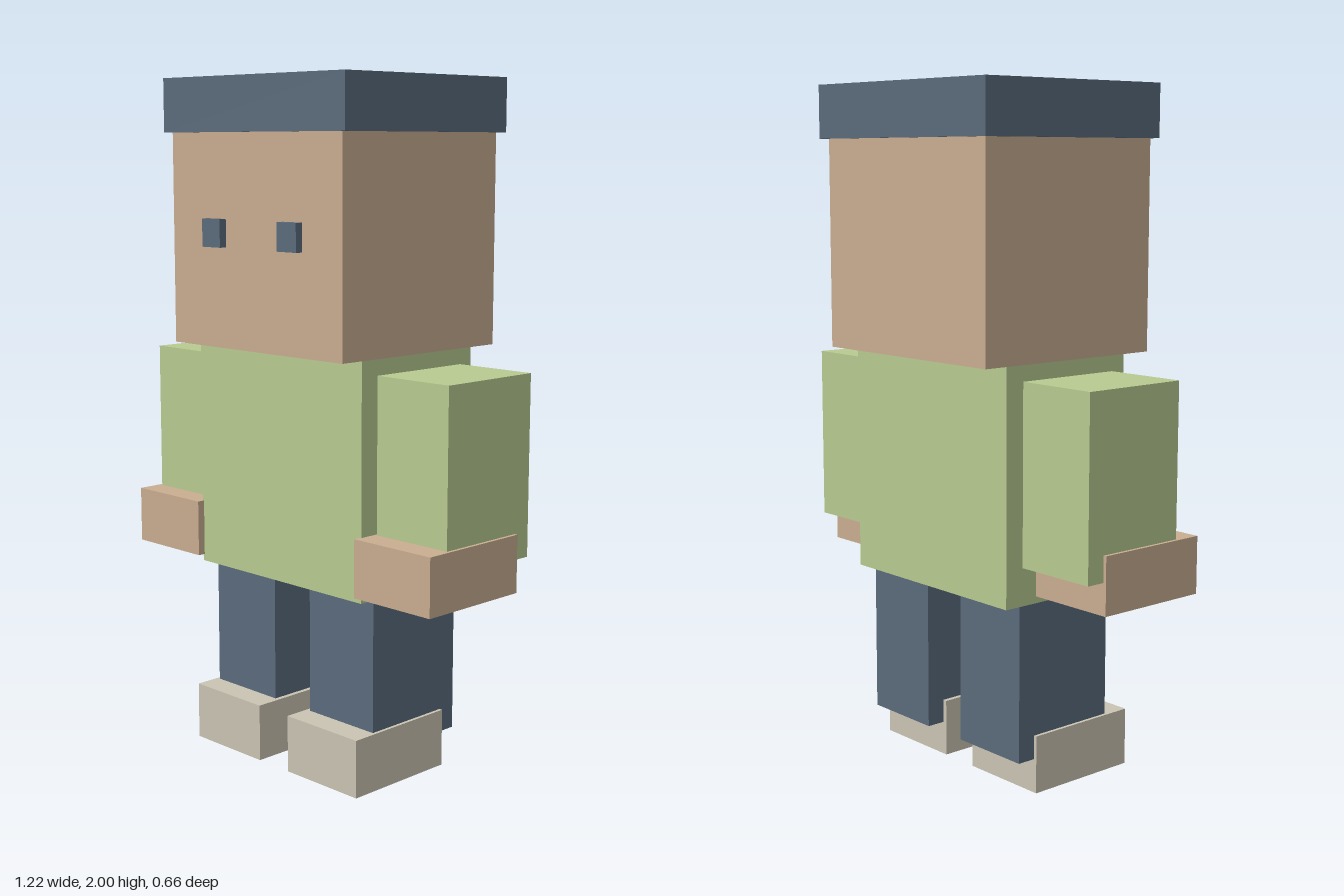
import * as THREE from 'three';

const material = (name, color) => {
  const m = new THREE.MeshStandardMaterial({ color });
  m.name = name;
  return m;
};

export function createModel() {
  const skin = material('skin', 0xc9ad90);
  const green = material('shirtGreen', 0xb8ca90);
  const navy = material('slateBlue', 0x5b6b7c);
  const cream = material('shoeCream', 0xcac4b3);

  const model = new THREE.Group();
  model.name = 'blockFigure';

  // Box given by its [min, max] extent along each axis
  const block = (name, mat, [x0, x1], [y0, y1], [z0, z1]) => {
    const mesh = new THREE.Mesh(new THREE.BoxGeometry(x1 - x0, y1 - y0, z1 - z0), mat);
    mesh.position.set((x0 + x1) / 2, (y0 + y1) / 2, (z0 + z1) / 2);
    mesh.name = name;
    model.add(mesh);
  };

  // Same block on the left (+x) and right (-x)
  const pair = (name, mat, [x0, x1], y, z) => {
    block('left' + name, mat, [x0, x1], y, z);
    block('right' + name, mat, [-x1, -x0], y, z);
  };

  // Head, cap of hair and torso
  block('hair', navy, [-0.37, 0.37], [1.846, 2], [-0.327, 0.323]);
  block('head', skin, [-0.348, 0.348], [1.238, 1.846], [-0.309, 0.309]);
  block('torso', green, [-0.337, 0.337], [0.56, 1.238], [-0.224, 0.224]);

  // Eyes standing slightly proud of the face
  pair('Eye', navy, [0.118, 0.194], [1.525, 1.605], [0.3, 0.332]);

  // Arms and forward-reaching hands
  pair('Sleeve', green, [0.344, 0.602], [0.672, 1.192], [-0.17, 0.17]);
  pair('Hand', skin, [0.332, 0.612], [0.58, 0.747], [-0.113, 0.247]);

  // Legs and shoes
  pair('Leg', navy, [0.075, 0.332], [0.1, 0.58], [-0.17, 0.17]);
  pair('Shoe', cream, [0.061, 0.342], [0, 0.17], [-0.113, 0.247]);

  return model;
}
